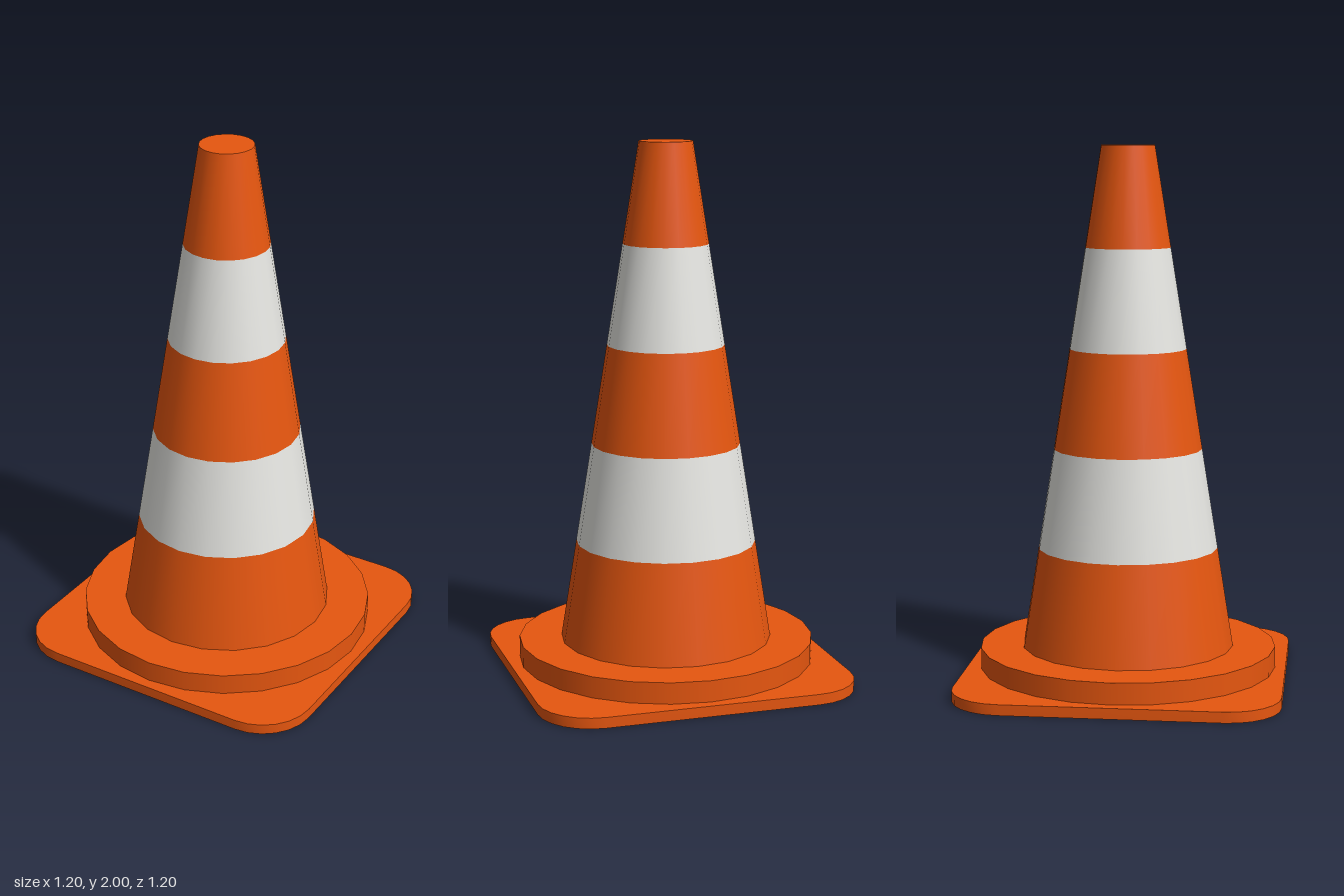
import * as THREE from 'three';
import { toCreasedNormals } from 'three/addons/utils/BufferGeometryUtils.js';

const material = (name, color) => {
  const m = new THREE.MeshStandardMaterial({ color });
  m.name = name;
  return m;
};

export function createModel() {
  const orange = material('orange', 0xe6560f);
  const white = material('white', 0xe6e6e2);
  const model = new THREE.Group();
  model.name = 'trafficCone';

  const add = (name, geometry, mat, y) => {
    const mesh = new THREE.Mesh(geometry, mat);
    mesh.name = name;
    mesh.position.y = y;
    model.add(mesh);
  };

  // Square foot plate with rounded corners
  const half = 0.6, radius = 0.2, c = half - radius;
  const outline = new THREE.Shape();
  [[c, c], [-c, c], [-c, -c], [c, -c]].forEach(([x, y], i) =>
    outline.absarc(x, y, radius, i * Math.PI / 2, (i + 1) * Math.PI / 2, false));
  outline.closePath();
  const plate = new THREE.ExtrudeGeometry(outline, { depth: 0.04, bevelEnabled: false, curveSegments: 3 });
  plate.rotateX(-Math.PI / 2);
  add('footPlate', toCreasedNormals(plate, 0.7), orange, 0);

  // Round collar on the plate
  add('collar', new THREE.CylinderGeometry(0.56, 0.56, 0.08, 24), orange, 0.08);

  // Tapered body in five equal bands, the last one closed at the top
  const bottom = 0.12, bands = 5, height = (2 - bottom) / bands;
  for (let i = 0; i < bands; i++) {
    const r = 0.4 - 0.06 * i;
    const open = i < bands - 1;
    add(i % 2 ? 'whiteBand' : 'orangeBand',
      new THREE.CylinderGeometry(r - 0.06, r, height, 20, 1, open),
      i % 2 ? white : orange, bottom + (i + 0.5) * height);
  }
  return model;
}
